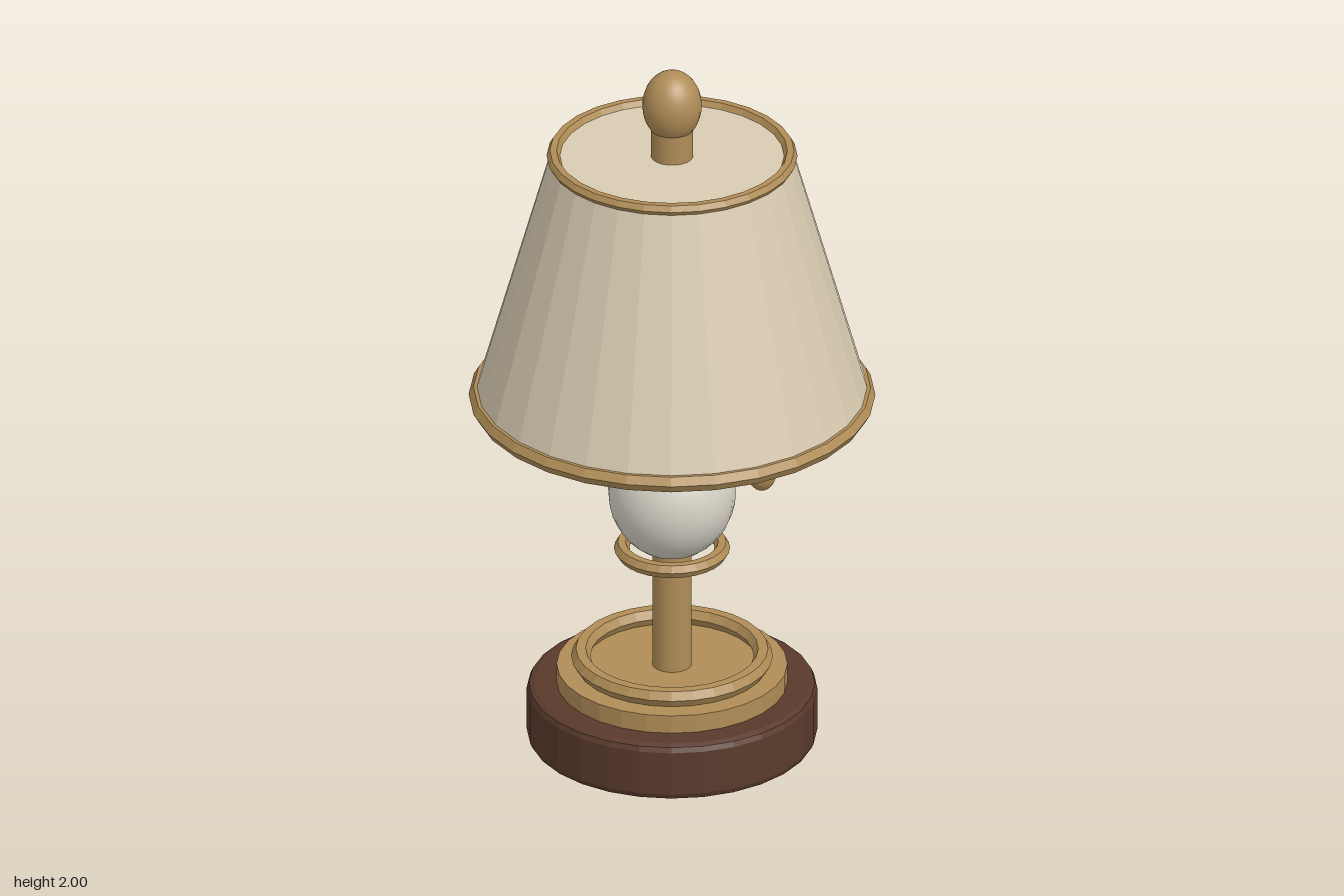
import * as THREE from 'three';

const SIDES = 28;

export function createModel() {
  const lamp = new THREE.Group();
  lamp.name = 'tableLamp';

  const material = (color, flatShading) => new THREE.MeshStandardMaterial({ color, flatShading });
  const brass = material(0xb08d57, true);
  const brassSmooth = material(0xb08d57, false);
  const wood = material(0x5a3a2c, true);
  const fabric = material(0xd9ccb2, true);
  const ceramic = material(0xd9d4c8, false);

  function add(name, geometry, mat, y, x = 0) {
    const mesh = new THREE.Mesh(geometry, mat);
    mesh.name = name;
    mesh.position.set(x, y, 0);
    lamp.add(mesh);
    return mesh;
  }
  // Upright cylinder or cone between two heights
  const column = (name, rTop, rBottom, y0, y1, sides, mat, x = 0) =>
    add(name, new THREE.CylinderGeometry(rTop, rBottom, y1 - y0, sides), mat, (y0 + y1) / 2, x);
  // Horizontal ring with a six-sided section
  const ring = (name, radius, tube, y) =>
    add(name, new THREE.TorusGeometry(radius, tube, 6, SIDES).rotateX(Math.PI / 2), brass, y);
  // Stretched sphere
  const egg = (name, rx, ry, y, mat, x = 0) =>
    add(name, new THREE.SphereGeometry(1, 24, 18).scale(rx, ry, rx), mat, y, x);

  // Wooden foot with softened edges
  const footProfile = [
    [0, 0], [0.37, 0], [0.384, 0.006], [0.39, 0.02],
    [0.39, 0.145], [0.384, 0.159], [0.37, 0.165], [0, 0.165],
  ].map(([r, y]) => new THREE.Vector2(r, y));
  add('foot', new THREE.LatheGeometry(footProfile, SIDES), wood, 0);

  // Brass plate and its raised rim
  column('footPlate', 0.31, 0.31, 0.16, 0.217, SIDES, brass);
  ring('footRim', 0.245, 0.026, 0.241);

  // Stem and ceramic body between two collars
  column('stem', 0.053, 0.053, 0.2, 1.04, 20, brassSmooth);
  egg('body', 0.172, 0.188, 0.738, ceramic);
  ring('lowerCollar', 0.135, 0.021, 0.567);
  ring('upperCollar', 0.135, 0.021, 0.908);

  // Closed fabric shade with brass trims
  column('shade', 0.327, 0.53, 1.028, 1.748, SIDES, fabric);
  ring('shadeBottomTrim', 0.52, 0.026, 1.028);
  ring('shadeTopTrim', 0.319, 0.018, 1.748);

  // Finial
  column('finialNeck', 0.057, 0.057, 1.74, 1.86, 20, brassSmooth);
  egg('finial', 0.08, 0.1, 1.9, brassSmooth);

  // Pull cord
  column('pullCord', 0.012, 0.012, 0.76, 1.04, 8, brassSmooth, 0.267);
  egg('pullKnob', 0.04, 0.055, 0.738, brassSmooth, 0.267);

  return lamp;
}
